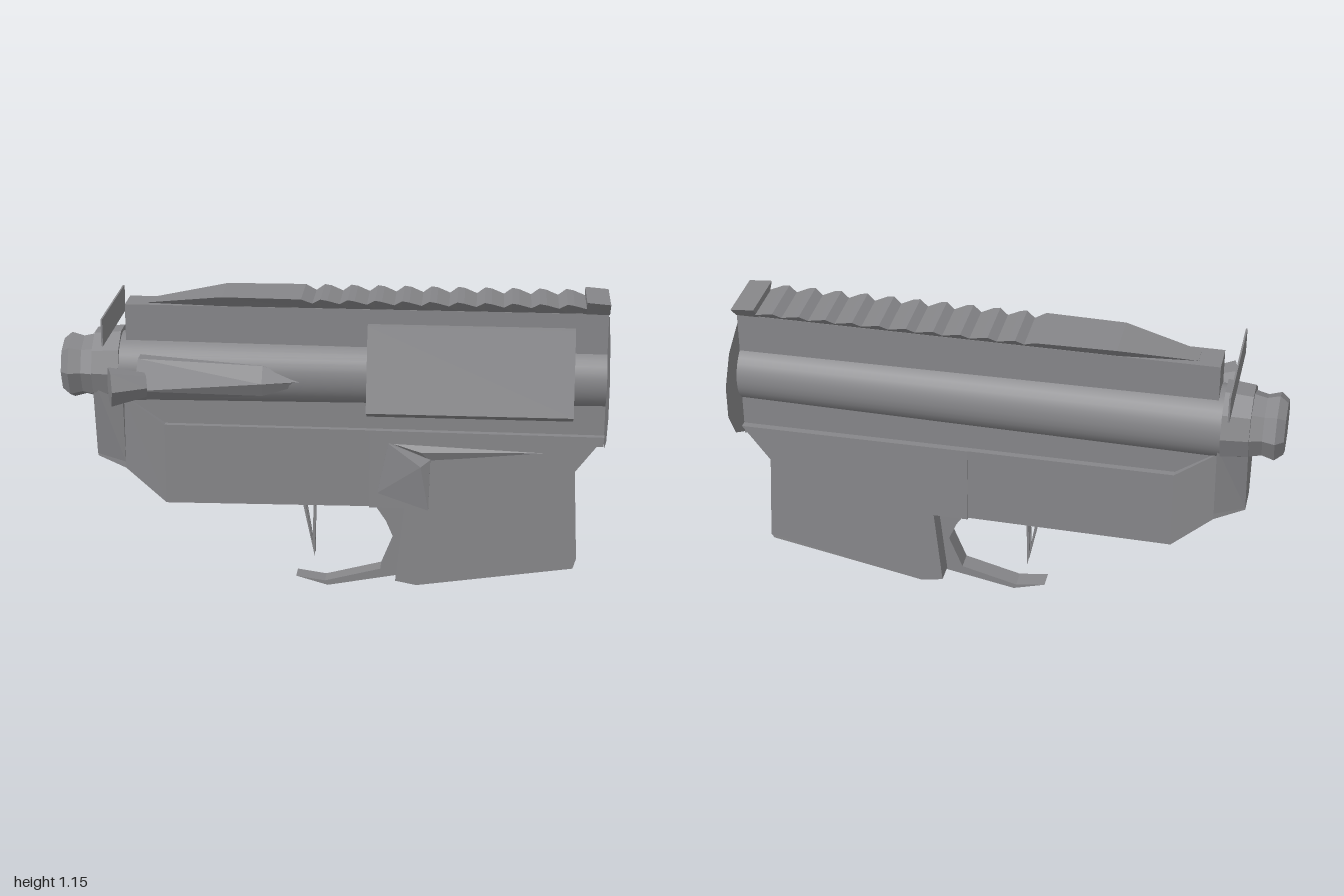
import * as THREE from 'three';

const ZC = -0.053; // centre plane of the body

export function createModel() {
  const group = new THREE.Group();
  const gunmetal = new THREE.MeshStandardMaterial({ color: 0x868689, side: THREE.DoubleSide });
  gunmetal.name = 'gunmetal';

  const add = (name, geometry, flat = true) => {
    let g = geometry;
    if (flat) {
      if (g.index) g = g.toNonIndexed();
      g.computeVertexNormals();
    }
    const mesh = new THREE.Mesh(g, gunmetal);
    mesh.name = name;
    group.add(mesh);
  };

  const fromPositions = (pos) => {
    const g = new THREE.BufferGeometry();
    g.setAttribute('position', new THREE.Float32BufferAttribute(pos, 3));
    return g;
  };

  // Skin over cross-sections [x, [[y, z], ...]] with both ends capped
  const loft = (sections) => {
    const pos = [], n = sections[0][1].length;
    const put = (s, j) => pos.push(s[0], s[1][j % n][0], s[1][j % n][1]);
    for (let i = 0; i + 1 < sections.length; i++) {
      const a = sections[i], b = sections[i + 1];
      for (let j = 0; j < n; j++) {
        put(a, j); put(a, j + 1); put(b, j + 1);
        put(a, j); put(b, j + 1); put(b, j);
      }
    }
    const first = sections[0], last = sections[sections.length - 1];
    for (let j = 1; j + 1 < n; j++) {
      put(first, 0); put(first, j + 1); put(first, j);
      put(last, 0); put(last, j); put(last, j + 1);
    }
    return fromPositions(pos);
  };
  const trapezoid = (yTop, wTop, yBot, wBot) =>
    [[yTop, ZC - wTop], [yTop, ZC + wTop], [yBot, ZC + wBot], [yBot, ZC - wBot]];

  // Open cone of triangles from a base loop to one point
  const pyramid = (base, apex) => fromPositions(
    base.flatMap((b, i) => [...b, ...base[(i + 1) % base.length], ...apex]));

  // Side outline given thickness from z0 to z1
  const slab = (points, z0, z1) => {
    const shape = new THREE.Shape(points.map(([x, y]) => new THREE.Vector2(x, y)));
    const g = new THREE.ExtrudeGeometry(shape, { depth: z1 - z0, bevelEnabled: false });
    return g.translate(0, 0, z0);
  };

  // Lathe of [x, radius] about the barrel axis
  const turned = (points, sides, y = 0.848) => {
    const g = new THREE.LatheGeometry(points.map(([x, r]) => new THREE.Vector2(r, -x)).reverse(), sides);
    return g.rotateZ(Math.PI / 2).translate(0, y, ZC);
  };

  // Upper receiver
  add('upperTube', turned([[-0.78, 0.132], [0.997, 0.118]], 32), false);
  add('upperSpine', new THREE.BoxGeometry(1.757, 0.2, 0.12).translate(0.1185, 1.0, ZC));

  // Top rail: sloped lead-in, saw-tooth ribs, raised end block
  const rail = [
    [-0.68, trapezoid(1.102, 0.035, 1.098, 0.03)],
    [-0.4, trapezoid(1.145, 0.1, 1.1, 0.058)],
    [-0.11, trapezoid(1.145, 0.108, 1.1, 0.058)],
  ];
  for (let i = 0; i < 10; i++) {
    const x = -0.07 + i * 0.0985;
    rail.push([x, trapezoid(1.127, 0.095, 1.1, 0.058)]);
    rail.push([x + 0.03, trapezoid(1.146, 0.108, 1.1, 0.058)]);
    rail.push([x + 0.055, trapezoid(1.142, 0.108, 1.1, 0.058)]);
  }
  rail.push([0.916, trapezoid(1.127, 0.095, 1.1, 0.058)]);
  add('topRail', loft(rail));
  add('railEndBlock', loft([
    [0.915, trapezoid(1.155, 0.111, 1.098, 0.06)],
    [1, trapezoid(1.148, 0.111, 1.098, 0.06)],
  ]));

  // Twelve-sided front plate, stretched at one upper corner
  const disc = [];
  for (let i = 0; i < 12; i++) {
    const a = (i + 0.5) * Math.PI / 6;
    disc.push(new THREE.Vector2(0.24 * Math.cos(a), 0.24 * Math.sin(a) + (i === 3 ? 0.035 : 0)));
  }
  add('frontPlate', new THREE.ShapeGeometry(new THREE.Shape(disc))
    .rotateY(Math.PI / 2).translate(1, 0.826, ZC + 0.006));

  // Ejection port cover on the left flank
  const cover = [[1.045, -0.03], [1.045, 0.04], [0.742, 0.128], [0.705, 0.05], [0.705, -0.03]];
  add('portCover', loft([[0.13, cover], [0.88, cover]]));

  // Lower receiver, with a narrower wall rising from its ledge to the tube
  add('lowerReceiver', loft([
    [-0.88, trapezoid(0.7, 0.05, 0.51, 0.055)], [-0.77, trapezoid(0.755, 0.085, 0.475, 0.088)],
    [-0.62, trapezoid(0.652, 0.098, 0.345, 0.098)], [0.14, trapezoid(0.65, 0.098, 0.352, 0.098)],
  ]));
  add('receiverWall', loft([
    [-0.8, trapezoid(0.77, 0.075, 0.6, 0.075)], [0.997, trapezoid(0.76, 0.075, 0.6, 0.075)]]));

  // Magazine well: flares downward, front lower corner higher on the right
  const well = slab([[0.14, 0.65], [0.14, 0.35], [0.27, 0.35], [0.24, 0.06], [0.32, 0.045],
    [0.9, 0.13], [0.912, 0.17], [0.895, 0.51], [0.998, 0.645]], -0.1, 0.1);
  const p = well.attributes.position;
  for (let i = 0; i < p.count; i++) {
    const x = p.getX(i), y = p.getY(i), z = p.getZ(i);
    p.setZ(i, ZC + z * (1 + (0.65 - y) * 0.2));
    if (z < 0 && x > 0.85 && y < 0.15) p.setY(i, y + 0.025);
  }
  add('magazineWell', well);

  // Catch on the left of the well, with a thin ridge running forward
  const catchOutline = [[0.17, 0.41], [0.36, 0.345], [0.365, 0.545], [0.21, 0.605]];
  add('magazineCatch', slab(catchOutline, 0.02, 0.058));
  add('catchFace', pyramid(catchOutline.map(([x, y]) => [x, y, 0.058]), [0.33, 0.52, 0.072]));
  add('catchRidge', pyramid(
    [[0.21, 0.605, 0.045], [0.36, 0.54, 0.05], [0.84, 0.58, 0.046]], [0.33, 0.575, 0.066]));

  // Trigger guard and two-bladed trigger
  add('triggerGuard', slab([[-0.14, 0.036], [-0.02, 0.002], [0.26, 0.055], [0.29, 0.36], [0.14, 0.36],
    [0.2, 0.27], [0.23, 0.2], [0.18, 0.075], [-0.03, 0.02]], -0.088, -0.018));
  for (const z of [-0.07, -0.036]) {
    add('triggerBlade', slab([[-0.12, 0.355], [-0.07, 0.115], [-0.066, 0.355], [-0.073, 0.355], [-0.078, 0.17],
      [-0.108, 0.355]], z - 0.006, z + 0.006));
  }

  // Rear collar, its lower bracket and the stub behind it
  add('rearCollar', turned([[-0.88, 0], [-0.88, 0.135], [-0.78, 0.145], [-0.78, 0]], 10, 0.855));
  add('rearBracket', loft([
    [-0.88, trapezoid(0.85, 0.12, 0.52, 0.06)], [-0.77, trapezoid(0.8, 0.115, 0.5, 0.09)]]));
  add('rearStub', turned([[-1, 0], [-1, 0.1], [-0.97, 0.125], [-0.925, 0.112], [-0.88, 0.122]], 8));

  // Cross plate over the collar
  add('crossPlate', new THREE.BoxGeometry(0.006, 0.1, 0.475).translate(-0.815, 1.042, ZC));

  // Forward assist: tapering spur on the flank with a faceted knob
  const spur = (x, yTop, yBot, z) => [x, [
    [yTop, 0], [yTop, 0.03 + z * 0.35], [0.838, z], [yBot, z * 0.8], [yBot, 0]]];
  add('assistSpur', loft([
    spur(-0.7, 0.925, 0.79, 0.225), spur(-0.25, 0.895, 0.787, 0.11), spur(-0.07, 0.842, 0.832, 0.06)]));
  add('assistKnob', new THREE.CylinderGeometry(0.073, 0.045, 0.13, 6)
    .rotateY(Math.PI / 6).rotateX(Math.PI / 2).rotateY(-1.28).translate(-0.725, 0.85, 0.2));

  return group;
}
